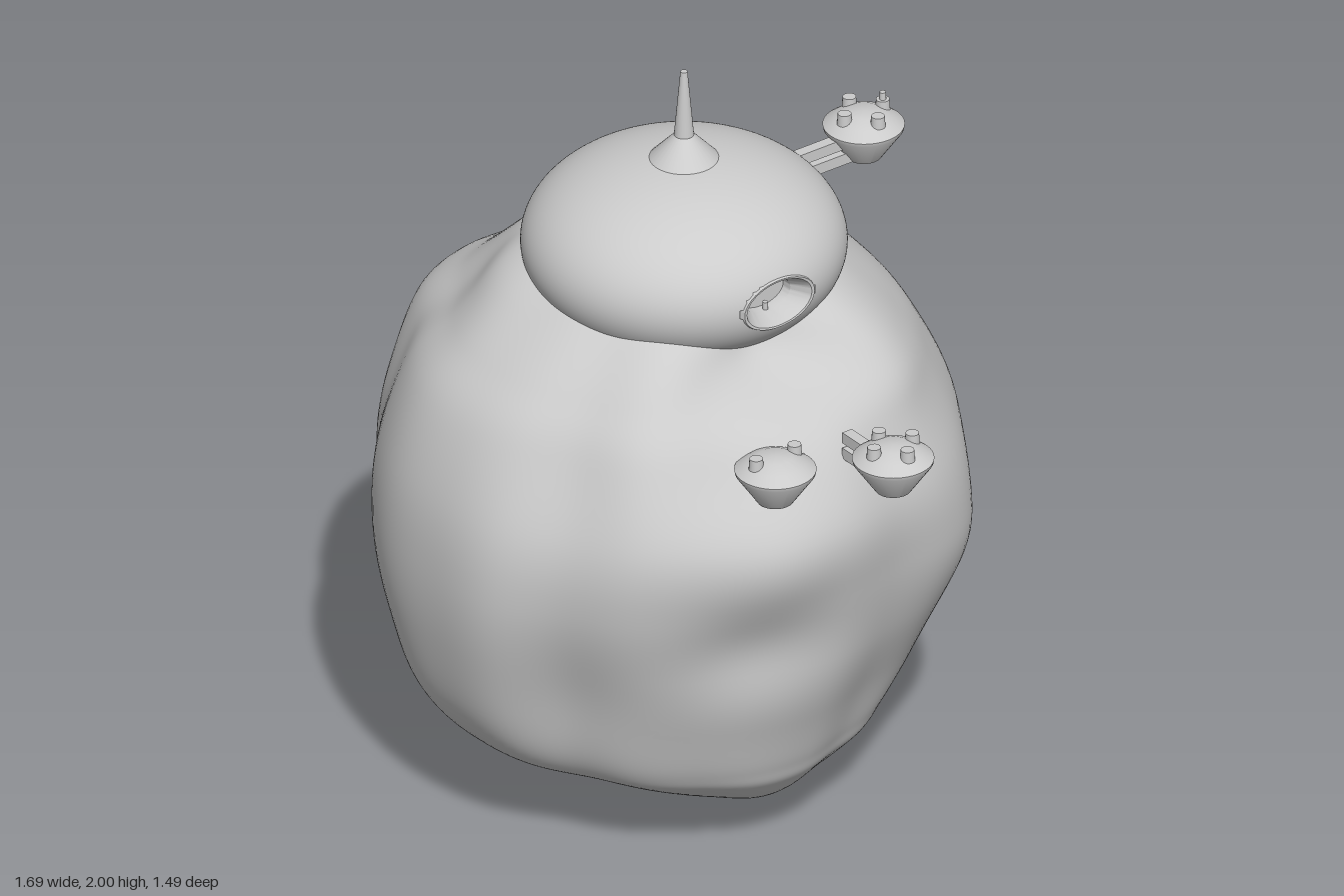
import * as THREE from 'three';
import { toCreasedNormals } from 'three/addons/utils/BufferGeometryUtils.js';

const grey = new THREE.MeshStandardMaterial({ color: 0xcccccc });
const greyDouble = new THREE.MeshStandardMaterial({ color: 0xcccccc, side: THREE.DoubleSide });

function add(parent, name, geometry, x = 0, y = 0, z = 0, material = grey) {
  const mesh = new THREE.Mesh(geometry, material);
  mesh.name = name;
  mesh.position.set(x, y, z);
  parent.add(mesh);
  return mesh;
}

function lathe(points, segments) {
  const profile = points.map(([r, y]) => new THREE.Vector2(r, y));
  return toCreasedNormals(new THREE.LatheGeometry(profile, segments), 0.45);
}

// Rock: height, then reach to left (-x), right (+x), back and front of the core axis
const ROCK_X = -0.1;
const RINGS = [
  [0.04, 0.001, 0.001, 0.001, 0.001], [0.05, 0.08, 0.07, 0.07, 0.06],
  [0.08, 0.14, 0.22, 0.15, 0.15], [0.11, 0.2, 0.43, 0.26, 0.25], [0.2, 0.35, 0.53, 0.46, 0.48],
  [0.27, 0.46, 0.56, 0.54, 0.6], [0.4, 0.58, 0.6, 0.645, 0.685], [0.6, 0.73, 0.685, 0.72, 0.735],
  [0.8, 0.76, 0.74, 0.745, 0.75], [1.0, 0.73, 0.76, 0.735, 0.73], [1.2, 0.675, 0.675, 0.64, 0.66],
  [1.32, 0.52, 0.58, 0.55, 0.56], [1.43, 0.4, 0.47, 0.43, 0.43], [1.5, 0.33, 0.35, 0.33, 0.33],
  [1.54, 0.26, 0.24, 0.22, 0.25], [1.55, 0.001, 0.001, 0.001, 0.001],
];
// Plan outline factor every 15 degrees, from +x towards +z
const PLAN = [0.98, 1, 0.98, 0.985, 0.96, 0.985, 0.99, 1, 0.985, 0.97, 1.03, 1.02,
  0.97, 1.01, 0.98, 1, 1.01, 1.01, 0.99, 0.98, 0.98, 0.995, 0.99, 0.96];
// Hollows and ridges: angle, height, angular spread, height spread, amount
const DENTS = [
  // around the dome
  [6, 1.38, 17, 0.08, -0.24], [-28, 1.35, 12, 0.1, 0.07], [38, 1.4, 10, 0.07, 0.03],
  [122, 1.49, 18, 0.07, 0.13],
  // right side
  [20, 1.18, 12, 0.1, -0.07], [17, 0.68, 11, 0.11, -0.08], [0, 0.4, 10, 0.16, 0.04],
  [-22, 1.12, 13, 0.13, -0.02], [-38, 0.8, 9, 0.15, 0.025],
  // front
  [135, 0.35, 18, 0.09, 0.05], [55, 0.5, 13, 0.16, -0.06], [74, 0.7, 8, 0.25, 0.02],
  [62, 1.18, 12, 0.13, -0.04], [138, 1.2, 16, 0.12, -0.03],
  // left side and back
  [165, 0.95, 11, 0.15, -0.03], [199, 0.62, 10, 0.12, -0.07], [228, 0.84, 10, 0.2, -0.05],
  [212, 0.75, 6, 0.22, 0.02], [225, 0.33, 18, 0.1, 0.04], [315, 1.05, 15, 0.16, -0.035],
  [318, 0.72, 12, 0.1, 0.02], [290, 0.5, 13, 0.15, -0.035],
];

function rockGeometry() {
  const rows = 120, cols = 160;
  const curve = (pick) => new THREE.CatmullRomCurve3(
    RINGS.map((r) => new THREE.Vector3(r[0], r[pick], r[pick + 1])), false, 'catmullrom', 0.5);
  const sides = curve(1), depths = curve(3);
  const plan = new THREE.CatmullRomCurve3(PLAN.map((f) => new THREE.Vector3(f, 0, 0)), true, 'catmullrom', 0.5);
  const position = [], index = [];
  for (let i = 0; i <= rows; i++) {
    const s = sides.getPoint(i / rows), d = depths.getPoint(i / rows);
    for (let j = 0; j < cols; j++) {
      const a = (j / cols) * Math.PI * 2, deg = (j / cols) * 360;
      let f = plan.getPoint(j / cols).x;
      for (const [angle, y, sa, sy, amount] of DENTS) {
        const da = (((deg - angle + 540) % 360) - 180) / sa;
        f += amount * Math.exp(-0.5 * (da * da + ((s.x - y) / sy) ** 2));
      }
      const c = Math.cos(a), n = Math.sin(a);
      position.push(ROCK_X + f * c * (c < 0 ? s.y : s.z), s.x, f * n * (n < 0 ? d.y : d.z));
      if (i < rows) {
        const k = (j + 1) % cols, p = i * cols, q = p + cols;
        index.push(p + j, q + j, p + k, p + k, q + j, q + k);
      }
    }
  }
  const geometry = new THREE.BufferGeometry();
  geometry.setAttribute('position', new THREE.Float32BufferAttribute(position, 3));
  geometry.setIndex(index);
  geometry.computeVertexNormals();
  return geometry;
}

// Oblate dome, pressed in on +x to make room for the bay
const BAY_Y = 0.062, BAY_Z = 0.1;
function domeGeometry() {
  const geometry = new THREE.SphereGeometry(1, 128, 96).scale(0.405, 0.24, 0.405);
  const p = geometry.attributes.position;
  for (let i = 0; i < p.count; i++) {
    const inside = (p.getY(i) / BAY_Y) ** 2 + (p.getZ(i) / BAY_Z) ** 2 < 1;
    if (inside && p.getX(i) > 0) p.setX(i, p.getX(i) - 0.1);
  }
  return geometry;
}

// Docking pod: conical dish with knobs on top and twin arms reaching towards local -x
function pod(name, x, y, z, turn, armLength, knobAngles) {
  const group = new THREE.Group();
  group.name = name;
  group.position.set(x, y, z);
  group.rotation.y = turn;
  add(group, 'dish', lathe([[0, 0], [0.045, 0], [0.1, 0.08], [0.102, 0.09], [0.075, 0.11], [0.042, 0.126], [0, 0.128]], 40));
  for (const degrees of knobAngles) {
    const a = THREE.MathUtils.degToRad(degrees);
    add(group, 'knob', new THREE.CylinderGeometry(0.017, 0.019, 0.03, 16),
      0.059 * Math.cos(a), 0.125, 0.059 * Math.sin(a));
  }
  for (const level of [0.018, 0.062]) {
    add(group, 'arm', new THREE.BoxGeometry(armLength, 0.03, 0.03), -armLength / 2, level, 0);
  }
  return group;
}

export function createModel() {
  const model = new THREE.Group();
  model.name = 'asteroidStation';
  add(model, 'rock', rockGeometry());

  // Dome with its oval bay
  const station = new THREE.Group();
  station.name = 'station';
  station.position.set(-0.042, 1.52, 0);
  model.add(station);
  add(station, 'dome', domeGeometry());
  const bay = lathe([[1.14, 0.381], [1.08, 0.395], [1, 0.394], [0.7, 0.345], [0.68, 0.318], [0, 0.318]], 48);
  bay.scale(BAY_Y, 1, BAY_Z).rotateZ(-Math.PI / 2);
  add(station, 'bay', toCreasedNormals(bay, 0.45), 0, 0, 0, greyDouble);
  add(station, 'bayPost', new THREE.CylinderGeometry(0.007, 0.007, 0.025, 12), 0.335, -0.035, 0);

  // Mast
  add(station, 'mastBase', new THREE.CylinderGeometry(0.025, 0.1, 0.08, 32), 0, 0.26, 0);
  add(station, 'mast', new THREE.CylinderGeometry(0.009, 0.025, 0.18, 24), 0, 0.39, 0);

  // Nozzle under the rock
  add(model, 'nozzle', new THREE.CylinderGeometry(0.085, 0.032, 0.09, 32), -0.1, 0.045, -0.02);

  // Pods: two on the rock, one behind the dome
  const allKnobs = [0, 90, 180, 270];
  model.add(pod('sidePod', 0.747, 1.155, -0.055, 0, 0.19, allKnobs));
  model.add(pod('lowerPod', 0.555, 1.11, 0.165, 0, 0.12, [90, 270]));
  const backPod = pod('backPod', -0.042, 1.565, -0.555, Math.PI / 2, 0.24, allKnobs);
  backPod.rotation.y = -Math.PI / 2 + Math.PI;
  add(backPod, 'aerial', new THREE.CylinderGeometry(0.008, 0.01, 0.05, 12), 0.059, 0.135, 0);
  model.add(backPod);
  return model;
}
